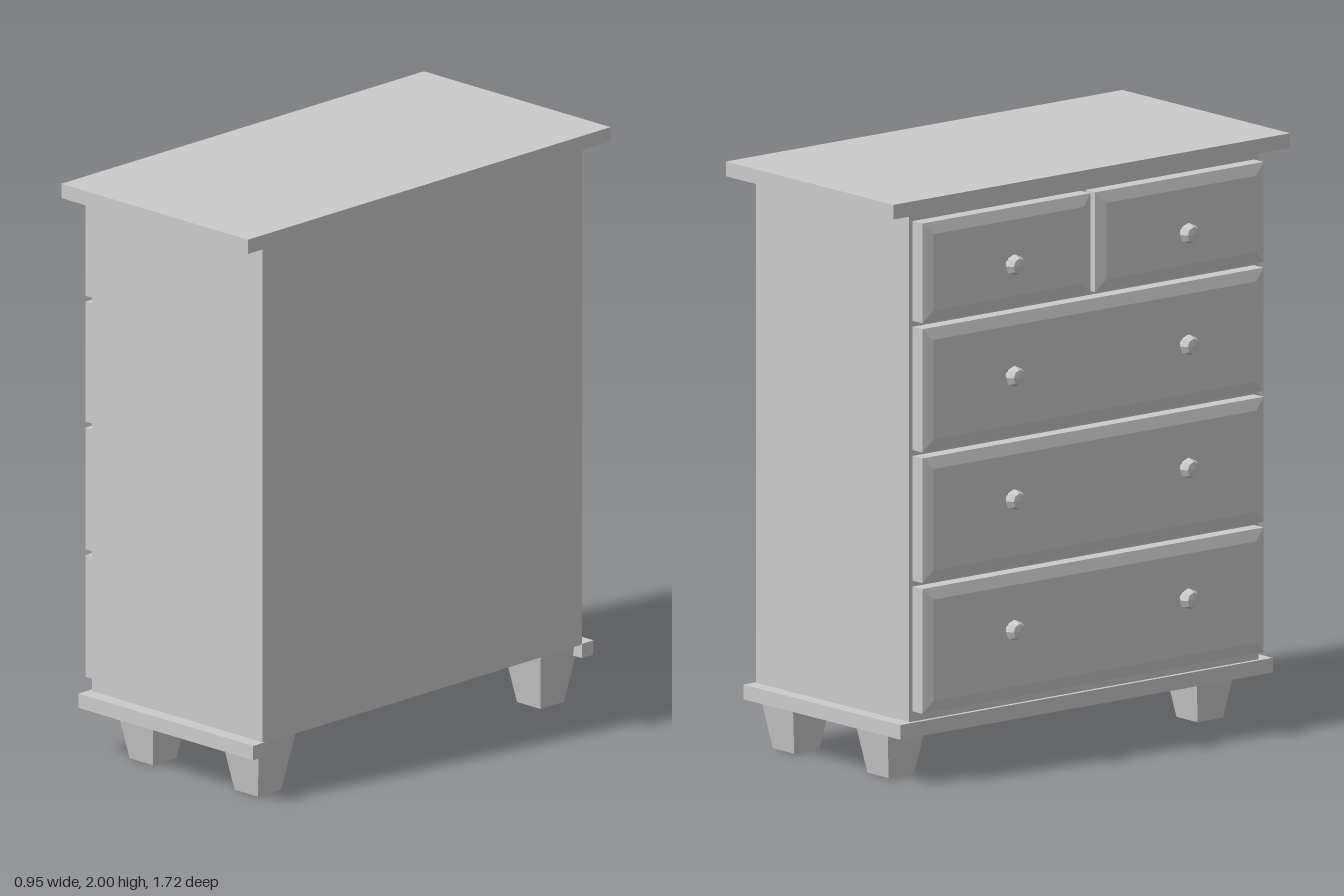
import * as THREE from 'three';

export function createModel() {
  const chest = new THREE.Group();
  chest.name = 'chestOfDrawers';
  const mat = new THREE.MeshStandardMaterial({ color: 0xcccccc, flatShading: true });
  const openMat = new THREE.MeshStandardMaterial({ color: 0xcccccc, flatShading: true, side: THREE.DoubleSide });

  const add = (name, geo, parent = chest, material = mat) => {
    const mesh = new THREE.Mesh(geo, material);
    mesh.name = name;
    parent.add(mesh);
    return mesh;
  };

  // Box given by its limits on each axis
  const box = (name, x0, x1, y0, y1, z0, z1, parent) =>
    add(name, new THREE.BoxGeometry(x1 - x0, y1 - y0, z1 - z0), parent)
      .position.set((x0 + x1) / 2, (y0 + y1) / 2, (z0 + z1) / 2);

  // Cabinet and overhanging top
  box('cabinet', -0.355, 0.44, 0.21, 1.95, -0.755, 0.76);
  box('top', -0.4, 0.47, 1.95, 2, -0.86, 0.86);

  // Plinth moulding: three sides, open at the back (+x)
  const rim = new THREE.Shape([
    [0.445, 0.81], [-0.37, 0.81], [-0.37, -0.805], [0.445, -0.805],
    [0.445, -0.75], [-0.32, -0.75], [-0.32, 0.755], [0.445, 0.755],
  ].map(([x, z]) => new THREE.Vector2(x, -z)));
  const rimGeo = new THREE.ExtrudeGeometry(rim, { depth: 0.05, bevelEnabled: false });
  rimGeo.rotateX(-Math.PI / 2);
  add('plinthMoulding', rimGeo).position.y = 0.165;

  // Tapered square feet, hollow underneath
  const footGeo = new THREE.CylinderGeometry(0.09 * Math.SQRT2, 0.055 * Math.SQRT2, 0.207, 4, 1, true);
  footGeo.rotateY(Math.PI / 4);
  for (const x of [-0.17, 0.32]) {
    for (const z of [-0.68, 0.66]) add('foot', footGeo, chest, openMat).position.set(x, 0.1035, z);
  }

  // Faceted knob turned about the x axis, pointing to -x
  const knobGeo = new THREE.LatheGeometry([
    [0.012, -0.02], [0.012, 0.014], [0.035, 0.032], [0.035, 0.042], [0.026, 0.062], [0, 0.065],
  ].map(([r, y]) => new THREE.Vector2(r, y)), 8);
  knobGeo.rotateZ(Math.PI / 2);

  // Drawer front: a slab with a bevelled face, and knobs
  function addDrawer(y0, y1, z0, z1, knobY, knobZs) {
    const drawer = new THREE.Group();
    drawer.name = 'drawer';
    box('drawerSlab', -0.405, -0.353, y0, y1, z0, z1, drawer);
    const h = y1 - y0, w = z1 - z0;
    const face = new THREE.BoxGeometry(0.01, h, w);
    const p = face.attributes.position;
    for (let i = 0; i < p.count; i++) {
      if (p.getX(i) > 0) continue;
      p.setY(i, p.getY(i) * (1 - 0.08 / h));
      p.setZ(i, p.getZ(i) * (1 - 0.08 / w));
    }
    face.computeVertexNormals();
    add('drawerFace', face, drawer).position.set(-0.41, (y0 + y1) / 2, (z0 + z1) / 2);
    for (const z of knobZs) add('knob', knobGeo, drawer).position.set(-0.412, knobY, z);
    chest.add(drawer);
  }

  // Three wide drawers below two half-width ones
  addDrawer(0.25, 0.675, -0.74, 0.74, 0.49, [-0.375, 0.38]);
  addDrawer(0.695, 1.12, -0.74, 0.74, 0.935, [-0.375, 0.38]);
  addDrawer(1.14, 1.56, -0.74, 0.74, 1.355, [-0.375, 0.38]);
  addDrawer(1.58, 1.92, -0.74, -0.01, 1.735, [-0.375]);
  addDrawer(1.58, 1.92, 0.01, 0.74, 1.735, [0.38]);

  return chest;
}
